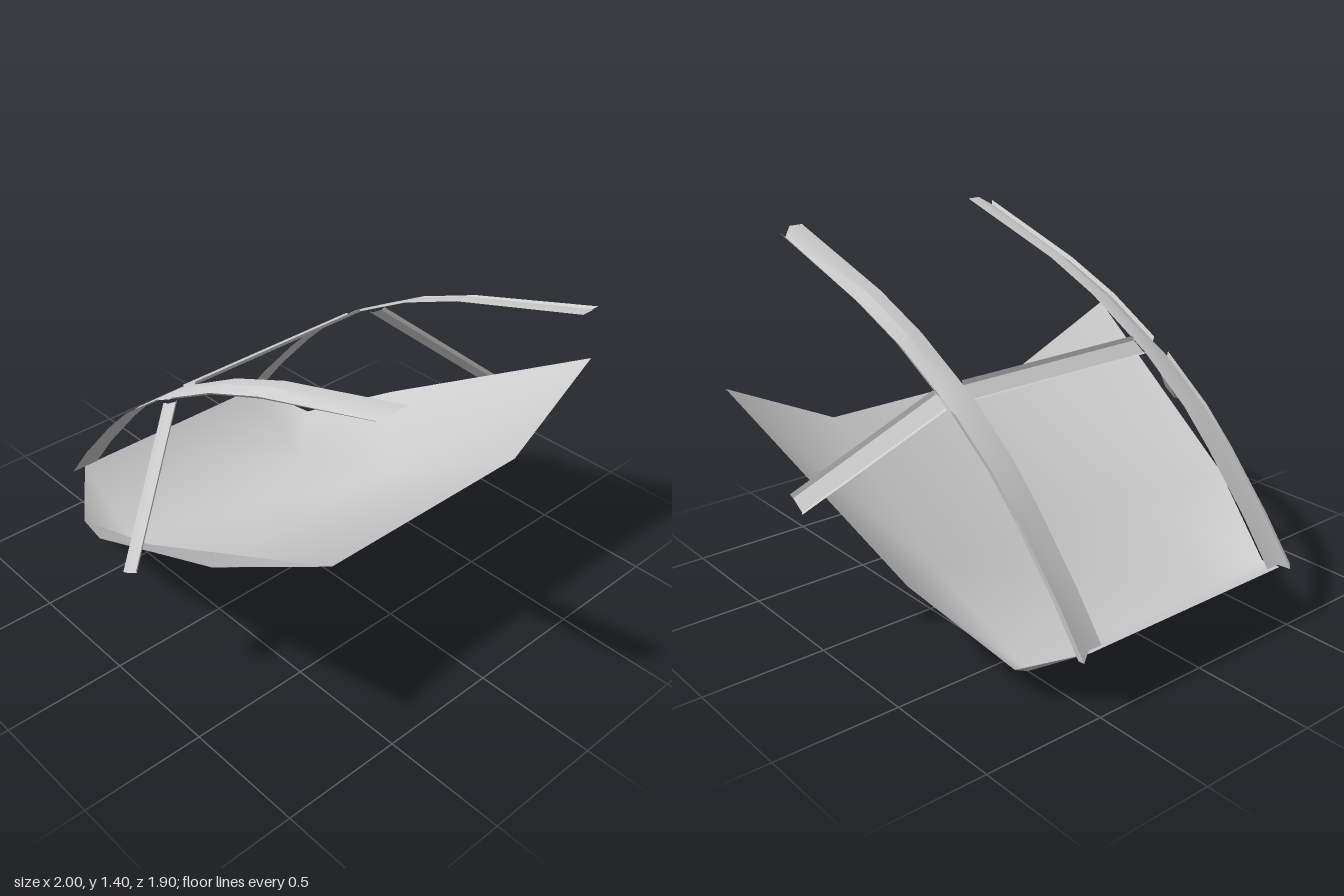
import * as THREE from 'three';
import { mergeVertices, toCreasedNormals } from 'three/addons/utils/BufferGeometryUtils.js';

const material = new THREE.MeshStandardMaterial({ color: 0xcccccc, side: THREE.DoubleSide });

// Skin a grid of cross-sections (rows of [x, y, z]) into a thin sheet
function sheet(rows, flip = false) {
  const n = rows[0].length, index = [];
  for (let r = 0; r < rows.length - 1; r++) {
    for (let c = 0; c < n - 1; c++) {
      const a = r * n + c, b = a + 1, d = a + n, e = d + 1;
      if (flip) index.push(a, b, d, b, e, d);
      else index.push(a, d, b, b, d, e);
    }
  }
  const g = new THREE.BufferGeometry();
  g.setAttribute('position', new THREE.Float32BufferAttribute(rows.flat(2), 3));
  g.setIndex(index);
  return g;
}

function addMesh(parent, name, geometry) {
  const mesh = new THREE.Mesh(geometry, material);
  mesh.name = name;
  parent.add(mesh);
}

// Side curve of the rails as [z, y], front to back
const railPath = [
  [0.94, 1.405], [0.36, 1.235], [0.09, 1.125], [-0.155, 0.99], [-0.235, 0.945],
  [-0.46, 0.775], [-0.6, 0.635], [-0.8, 0.41], [-0.935, 0.235],
];

// Sweep a section of [x, height] points along part of the rail path
function railRows(section, side, from, to) {
  const rows = [];
  for (let i = from; i <= to; i++) {
    const p = railPath[i];
    const a = railPath[Math.max(i - 1, 0)], b = railPath[Math.min(i + 1, railPath.length - 1)];
    const len = Math.hypot(b[0] - a[0], b[1] - a[1]);
    const nz = (b[1] - a[1]) / len, ny = (a[0] - b[0]) / len;
    rows.push(section.map(([x, h]) => [
      side * x, p[1] + ny * h, p[0] - nz * h + (i === 0 ? h * 0.9 : 0),
    ]));
  }
  return rows;
}

// Straight bar with a flat face and a raised lip along each edge
function bar(start, end) {
  const across = new THREE.Vector3(0, 0.53, 0.85);
  const normal = across.clone().cross(end.clone().sub(start)).normalize();
  if (normal.y < 0) normal.negate();
  const section = [[-0.05, 0.012], [-0.035, 0], [0.035, 0], [0.05, 0.012]];
  const rows = [start, end].map((p) => section.map(([w, h]) =>
    p.clone().addScaledVector(across, w).addScaledVector(normal, h).toArray()));
  return toCreasedNormals(sheet(rows, end.x > start.x), 0.4);
}

export function createModel() {
  const model = new THREE.Group();
  model.name = 'canopy';

  // Smooth open shell: [outer point, inner point] per row, front to back
  const hullRows = [
    [[1, 0.88, 0.63], [0.5, 0.63, 0.67]],
    [[0.83, 0.35, -0.33], [0.5, 0.2, -0.03]],
    [[0.66, 0.125, -0.73], [0.5, 0, -0.61]],
    [[0.5, 0.23, -0.945], [0.5, 0.23, -0.945]],
  ].map(([o, i]) => {
    const mirror = ([x, y, z]) => [-x, y, z];
    return [mirror(o), mirror(i), i, o];
  });
  const hull = mergeVertices(sheet(hullRows, true));
  hull.computeVertexNormals();
  addMesh(model, 'shell', hull);

  // Rails, their edge lips and the side struts
  for (const side of [1, -1]) {
    const label = side > 0 ? 'left' : 'right';
    const frame = new THREE.Group();
    frame.name = label + 'Frame';
    model.add(frame);

    const last = railPath.length - 1;
    const plate = [[0.44, 0], [0.5, 0], [0.545, -0.035]];
    const lip = [[0.545, -0.035], [0.56, -0.018]];
    addMesh(frame, label + 'Rail', toCreasedNormals(sheet(railRows(plate, side, 0, last), side < 0), 0.5));
    for (const [name, from, to] of [['FrontLip', 0, 3], ['RearLip', 4, last]]) {
      addMesh(frame, label + name, toCreasedNormals(sheet(railRows(lip, side, from, to), side < 0), 0.5));
    }
    addMesh(frame, label + 'Strut', bar(
      new THREE.Vector3(side * 0.545, 0.945, -0.17),
      new THREE.Vector3(side * 0.99, 0.55, 0.14)));
  }

  // Bar joining the two rails
  addMesh(model, 'crossbar', bar(
    new THREE.Vector3(-0.44, 0.963, -0.195), new THREE.Vector3(0.44, 0.963, -0.195)));

  return model;
}
